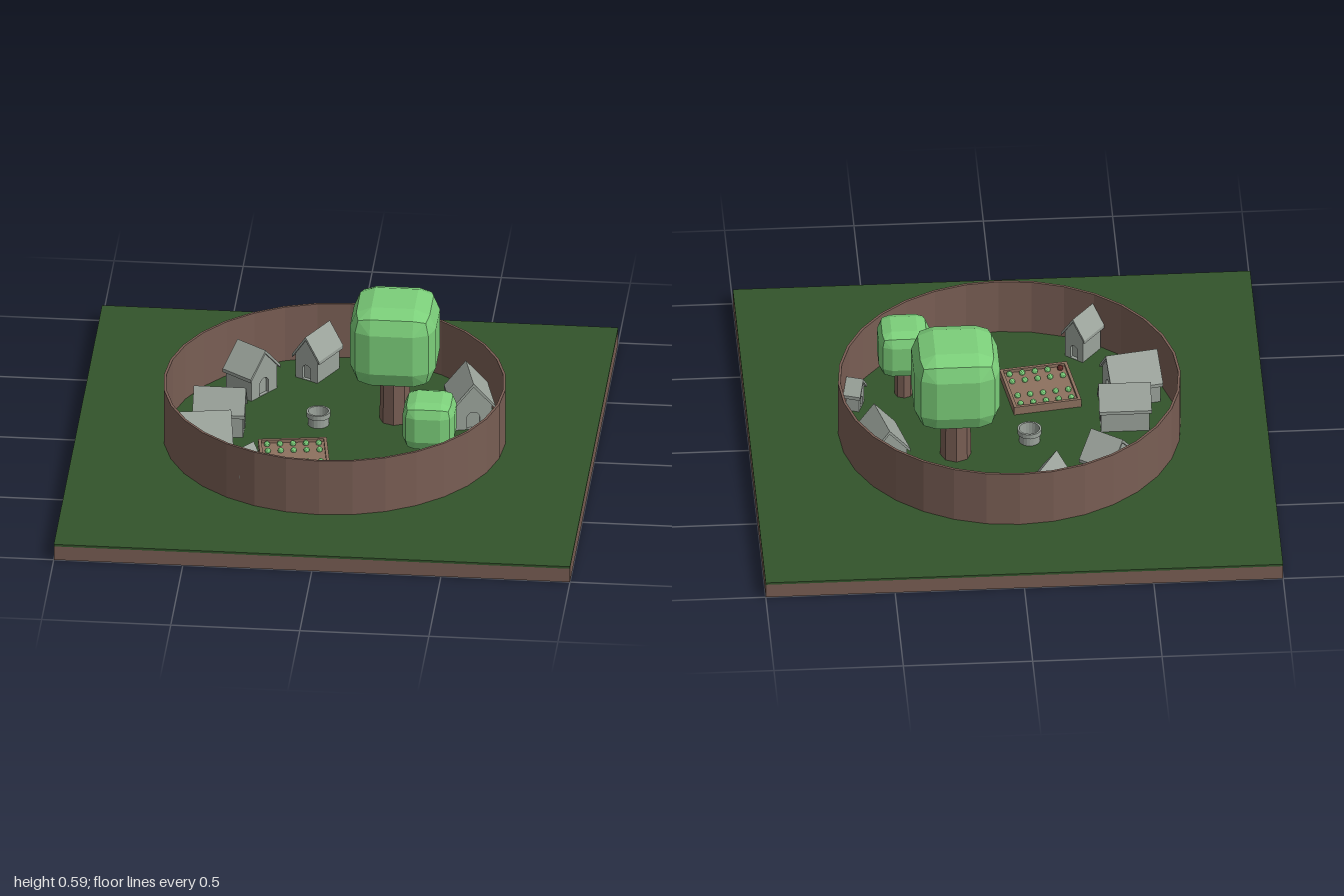
import * as THREE from 'three';
import { ConvexGeometry } from 'three/addons/geometries/ConvexGeometry.js';

const material = (color) => new THREE.MeshStandardMaterial({ color, flatShading: true });
const EARTH = material(0x795e54), GRASS = material(0x33542b), LEAF = material(0x7ccf7a);
const STONE = material(0x9ba39b), SOIL = material(0x8d715f), RED = material(0x6b2f2a);
const GROUND = 0.067;

function add(parent, name, geometry, mat, x = 0, y = 0, z = 0) {
  const mesh = new THREE.Mesh(geometry, mat);
  mesh.name = name;
  mesh.position.set(x, y, z);
  parent.add(mesh);
  return mesh;
}

function group(parent, name, x, y, z, angle = 0) {
  const g = new THREE.Group();
  g.name = name;
  g.position.set(x, y, z);
  g.rotation.y = angle;
  parent.add(g);
  return g;
}

const lathe = (points, sides) =>
  new THREE.LatheGeometry(points.map(([r, y]) => new THREE.Vector2(r, y)), sides);

const polygon = (points) => new THREE.Shape(points.map(([x, y]) => new THREE.Vector2(x, y)));

const extrude = (shape, depth) =>
  new THREE.ExtrudeGeometry(shape, { depth, bevelEnabled: false, curveSegments: 6 });

// Cube with edges rounded in two facets
function roundedCube(size, radius) {
  const inner = size / 2 - radius;
  const points = [];
  const steps = [0, 1];
  for (const i of steps) for (const j of steps) for (const k of steps) {
    if (i + j + k === 0) continue;
    const reach = radius / Math.sqrt(i + j + k);
    for (const sx of [-1, 1]) for (const sy of [-1, 1]) for (const sz of [-1, 1]) {
      points.push(new THREE.Vector3(
        sx * (inner + i * reach), sy * (inner + j * reach), sz * (inner + k * reach)));
    }
  }
  return new ConvexGeometry(points);
}

function addTree(parent, name, x, z, size, top, trunkRadius) {
  const tree = group(parent, name, x, 0, z);
  const middle = top - size / 2;
  add(tree, 'crown', roundedCube(size, size / 4), LEAF, 0, middle, 0);
  const height = middle - GROUND;
  add(tree, 'trunk', new THREE.CylinderGeometry(trunkRadius * 0.9, trunkRadius, height, 8),
    EARTH, 0, GROUND + height / 2, 0);
}

// Gabled house with an arched doorway; the door faces (dx, dz)
function addHouse(parent, name, { x, z, dx, dz, width, length, eave, ridge }) {
  const house = group(parent, name, x, GROUND, z, Math.atan2(dx, dz));
  const w = width / 2, t = 0.014, overhang = 0.008, recess = 0.014;
  const slope = (ridge - eave) / w;
  const b = w - 0.012;
  const wallTop = ridge - t / 2 - slope * b;
  const gable = () => polygon([[-b, 0], [b, 0], [b, wallTop], [0, ridge - t / 2], [-b, wallTop]]);
  const depth = length - overhang * 2;

  add(house, 'walls', extrude(gable(), depth - recess), STONE, 0, 0, -depth / 2);

  const front = gable();
  const r = width * 0.15, doorTop = ridge * 0.24;
  const door = new THREE.Path();
  door.moveTo(-r, 0.002);
  door.lineTo(-r, doorTop);
  door.absarc(0, doorTop, r, Math.PI, 0, true);
  door.lineTo(r, 0.002);
  door.closePath();
  front.holes.push(door);
  add(house, 'doorwayWall', extrude(front, recess), STONE, 0, 0, depth / 2 - recess);

  const roof = polygon([[-w, eave], [-w, eave - t], [0, ridge - t], [w, eave - t], [w, eave], [0, ridge]]);
  add(house, 'roof', extrude(roof, length), STONE, 0, 0, -length / 2);
}

// Fenced vegetable bed with four rows of plants
function addGarden(parent) {
  const garden = group(parent, 'garden', -0.14, GROUND, 0.23, 0.15);
  const size = 0.265, edge = 0.012, height = 0.035;
  add(garden, 'soil', new THREE.BoxGeometry(size - edge, 0.022, size - edge), SOIL, 0, 0.011, 0);
  for (const s of [-1, 1]) {
    const offset = s * (size - edge) / 2;
    add(garden, 'sideBoard', new THREE.BoxGeometry(edge, height, size), SOIL, offset, height / 2, 0);
    add(garden, 'endBoard', new THREE.BoxGeometry(size - 2 * edge, height, edge), SOIL, 0, height / 2, offset);
  }
  const plant = new THREE.IcosahedronGeometry(0.012, 1);
  [-0.1, -0.045, 0.053, 0.103].forEach((z, row) => {
    for (let i = 0; i < 5; i++) {
      const ripe = row === 3 && i === 0;
      add(garden, 'plant', plant, ripe ? RED : LEAF, -0.1 + i * 0.05, 0.028, z);
    }
  });
}

export function createModel() {
  const model = new THREE.Group();
  model.name = 'walledVillage';

  // Ground slab with a thin layer of grass
  add(model, 'earthSlab', new THREE.BoxGeometry(2, 0.058, 2), EARTH, 0, 0.029, 0);
  add(model, 'grass', new THREE.BoxGeometry(2, 0.009, 2), GRASS, 0, 0.0625, 0);

  // Round enclosing wall
  add(model, 'ringWall', lathe([[0.662, 0.06], [0.662, 0.3], [0.652, 0.3], [0.652, 0.06]], 32),
    EARTH, -0.005, 0, -0.003);

  addTree(model, 'largeTree', 0.213, -0.167, 0.333, 0.59, 0.06);
  addTree(model, 'smallTree', 0.387, 0.257, 0.2, 0.39, 0.036);

  // Houses around the green
  const houses = [
    { x: -0.12, z: -0.52, dx: -15, dz: 28, width: 0.125, length: 0.17, eave: 0.1, ridge: 0.19 },
    { x: -0.36, z: -0.355, dx: 22, dz: 16, width: 0.175, length: 0.145, eave: 0.1, ridge: 0.195 },
    { x: -0.45, z: -0.005, dx: 1, dz: 0, width: 0.13, length: 0.203, eave: 0.1, ridge: 0.19 },
    { x: -0.49, z: 0.2, dx: 38, dz: -7, width: 0.19, length: 0.205, eave: 0.09, ridge: 0.19 },
    { x: -0.32, z: 0.49, dx: 16, dz: -20, width: 0.108, length: 0.135, eave: 0.11, ridge: 0.19 },
    { x: 0.5, z: -0.195, dx: 9, dz: 36, width: 0.17, length: 0.2, eave: 0.1, ridge: 0.2 },
  ];
  for (const h of houses) addHouse(model, 'house', h);
  addHouse(model, 'shed',
    { x: 0.58, z: 0.182, dx: -12, dz: -4, width: 0.1, length: 0.068, eave: 0.075, ridge: 0.13 });

  // Stone well with a wider rim
  add(model, 'well', lathe([
    [0.041, 0], [0.041, 0.036], [0.047, 0.036], [0.047, 0.056],
    [0.039, 0.056], [0.037, 0.002]], 20), STONE, -0.077, GROUND, -0.095);

  addGarden(model);
  return model;
}
